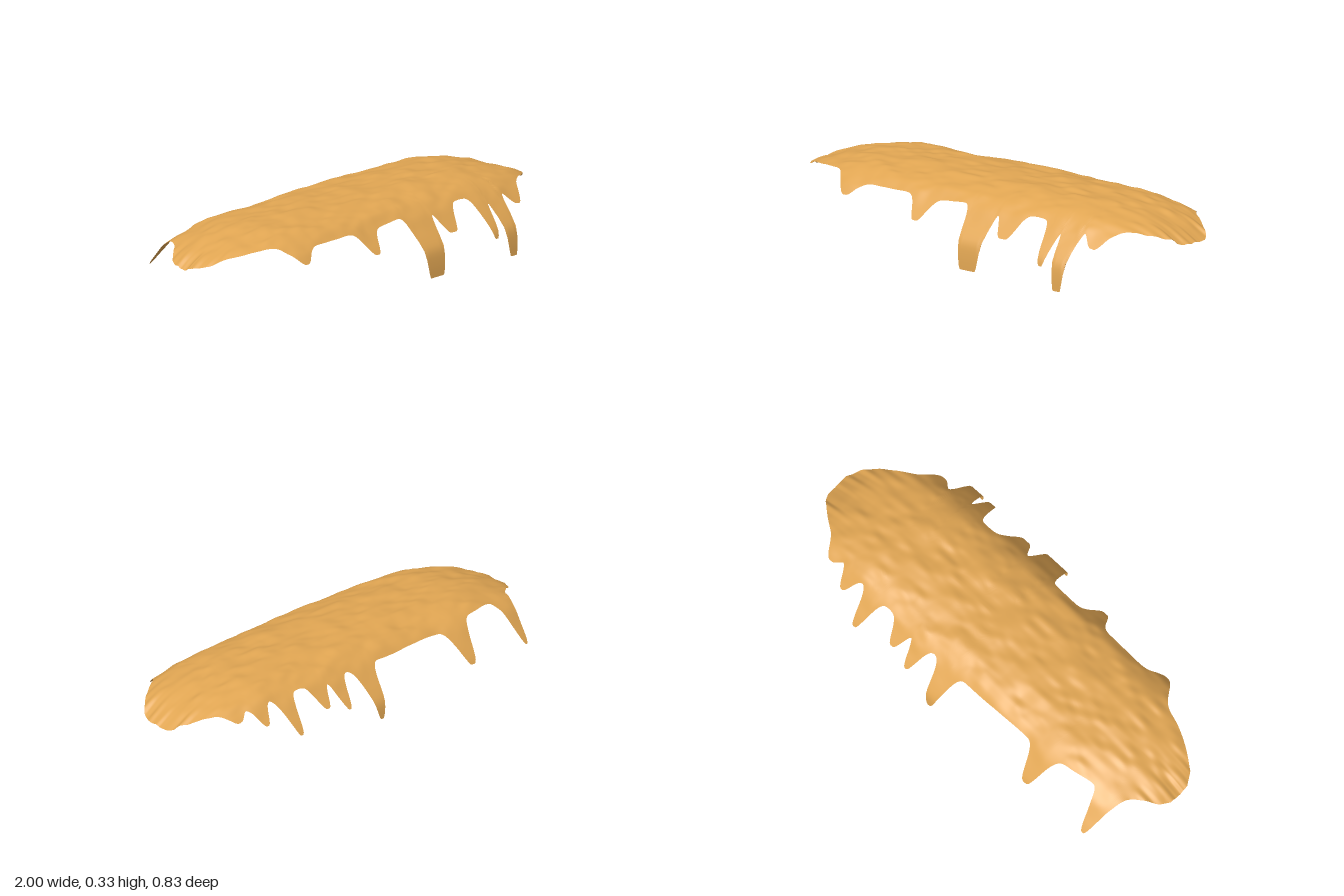
import * as THREE from 'three';

// Smooth interpolation through [x, y] points
function smooth(pts, x) {
  const n = pts.length - 1;
  if (x <= pts[0][0]) return pts[0][1];
  if (x >= pts[n][0]) return pts[n][1];
  let i = 0;
  while (x > pts[i + 1][0]) i++;
  const slope = k => {
    const a = pts[Math.max(k - 1, 0)], b = pts[Math.min(k + 1, n)];
    return (b[1] - a[1]) / (b[0] - a[0]);
  };
  const [x0, y0] = pts[i], [x1, y1] = pts[i + 1], h = x1 - x0, t = (x - x0) / h;
  const t2 = t * t, t3 = t2 * t;
  return (2 * t3 - 3 * t2 + 1) * y0 + (t3 - 2 * t2 + t) * h * slope(i)
    + (3 * t2 - 2 * t3) * y1 + (t3 - t2) * h * slope(i + 1);
}

// Seeded value noise
function hash(i, j) {
  const s = Math.sin(i * 127.1 + j * 311.7 + 4.3) * 43758.5453;
  return (s - Math.floor(s)) * 2 - 1;
}
function noise(x, y) {
  const i = Math.floor(x), j = Math.floor(y);
  const fx = x - i, fy = y - j;
  const u = fx * fx * (3 - 2 * fx), v = fy * fy * (3 - 2 * fy);
  const a = THREE.MathUtils.lerp(hash(i, j), hash(i + 1, j), u);
  const b = THREE.MathUtils.lerp(hash(i, j + 1), hash(i + 1, j + 1), u);
  return THREE.MathUtils.lerp(a, b, v);
}

// Drooping cross-section: [distance along it, sideways reach, drop]
const SECTION = [[0, 0, 0], [0.1, 0.1, 0.003], [0.2, 0.199, 0.022], [0.255, 0.25, 0.043],
  [0.305, 0.29, 0.075], [0.365, 0.33, 0.118], [0.425, 0.37, 0.163], [0.475, 0.4, 0.205],
  [0.53, 0.412, 0.26], [0.6, 0.418, 0.33]];
const REACH = SECTION.map(p => [p[0], p[1]]);
const DROP = SECTION.map(p => [p[0], p[2]]);
const FROM_REACH = SECTION.map(p => [p[1], p[0]]);
const FROM_DROP = SECTION.map(p => [p[2], p[0]]);

// Ridge height along the length
const RIDGE = [[-1, 0.197], [-0.95, 0.228], [-0.9, 0.25], [-0.8, 0.284], [-0.7, 0.306], [-0.58, 0.321],
  [-0.3, 0.324], [0.1, 0.328], [0.4, 0.326], [0.6, 0.318], [0.7, 0.304], [0.8, 0.284],
  [0.9, 0.25], [0.95, 0.225], [1, 0.197]];

// Edge without drips [x, reach], then drips [x, drop at tip, half width of tip, taper]
const FRONT = {
  edge: [[-1, 0.075], [-0.9, 0.14], [-0.8, 0.195], [-0.7, 0.225], [-0.6, 0.265], [-0.48, 0.286],
    [0, 0.29], [0.4, 0.28], [0.6, 0.285], [0.7, 0.265], [0.8, 0.225], [0.9, 0.16], [1, 0.075]],
  drips: [[-0.6, 0.123, 0.005, 0.055], [-0.205, 0.163, 0.008, 0.04], [0.11, 0.32, 0.038, 0.027],
    [0.26, 0.165, 0.015, 0.042], [0.487, 0.232, 0.006, 0.026], [0.58, 0.325, 0.015, 0.024],
    [0.7, 0.115, 0.008, 0.042]]
};
const BACK = {
  edge: [[-1, 0.08], [-0.9, 0.152], [-0.84, 0.2], [-0.72, 0.238], [-0.6, 0.262], [-0.35, 0.28],
    [0, 0.288], [0.45, 0.275], [0.6, 0.268], [0.72, 0.25], [0.8, 0.232], [0.87, 0.185], [1, 0.085]],
  drips: [[-0.8, 0.183, 0.004, 0.033], [-0.475, 0.204, 0.008, 0.042], [0.073, 0.275, 0.005, 0.036],
    [0.235, 0.185, 0.004, 0.032], [0.34, 0.155, 0.006, 0.035], [0.527, 0.2, 0.005, 0.031],
    [0.663, 0.12, 0.004, 0.032], [0.775, 0.066, 0.005, 0.035]]
};

// Distance along the cross-section at which the sheet ends
function edgeAt(side, x) {
  const base = smooth(DROP, smooth(FROM_REACH, smooth(side.edge, x)));
  let sum = 0;
  for (const [cx, tip, core, taper] of side.drips) {
    const d = Math.max(0, Math.abs(x - cx) - core) / taper;
    sum += ((tip - base) * Math.exp(-d * d)) ** 3;
  }
  return smooth(FROM_DROP, base + Math.cbrt(sum));
}

// Gentle lumps, with lengthwise creases gathering at both ends
function lumps(x, z, u) {
  const fade = 1 - THREE.MathUtils.smoothstep(Math.abs(u), 0.3, 0.42);
  const end = THREE.MathUtils.smoothstep(Math.abs(x), 0.75, 1);
  const soft = 0.006 * noise(x * 8 + 20, z * 16 + 9) + 0.004 * noise(x * 16 + 3, z * 32 + 40);
  const crease = 0.009 * noise(x * 3 + 11, z * 45 + 70);
  return (soft * (1 - 0.7 * end) + crease * end) * fade;
}

export function createModel() {
  const group = new THREE.Group();
  group.name = 'meltedSheet';
  const caramel = new THREE.MeshStandardMaterial({ color: 0xe0a552, side: THREE.DoubleSide });
  caramel.name = 'caramel';

  const NX = 400, NV = 72;
  const positions = [], indices = [];
  for (let i = 0; i <= NX; i++) {
    const x = -1 + 2 * i / NX;
    const front = edgeAt(FRONT, x), back = edgeAt(BACK, x), ridge = smooth(RIDGE, x);
    for (let j = 0; j <= NV; j++) {
      const v = -1 + 2 * j / NV;
      const u = v * (v < 0 ? back : front), s = Math.abs(u);
      const z = Math.sign(u) * smooth(REACH, s);
      const y = ridge - smooth(DROP, s) + lumps(x, z, u);
      positions.push(x, Math.max(0, y), z);
      if (i < NX && j < NV) {
        const a = i * (NV + 1) + j, c = a + NV + 1;
        indices.push(a, a + 1, c, a + 1, c + 1, c);
      }
    }
  }
  const geometry = new THREE.BufferGeometry();
  geometry.setAttribute('position', new THREE.Float32BufferAttribute(positions, 3));
  geometry.setIndex(indices);
  geometry.computeVertexNormals();

  const sheet = new THREE.Mesh(geometry, caramel);
  sheet.name = 'drippingSheet';
  group.add(sheet);
  return group;
}
